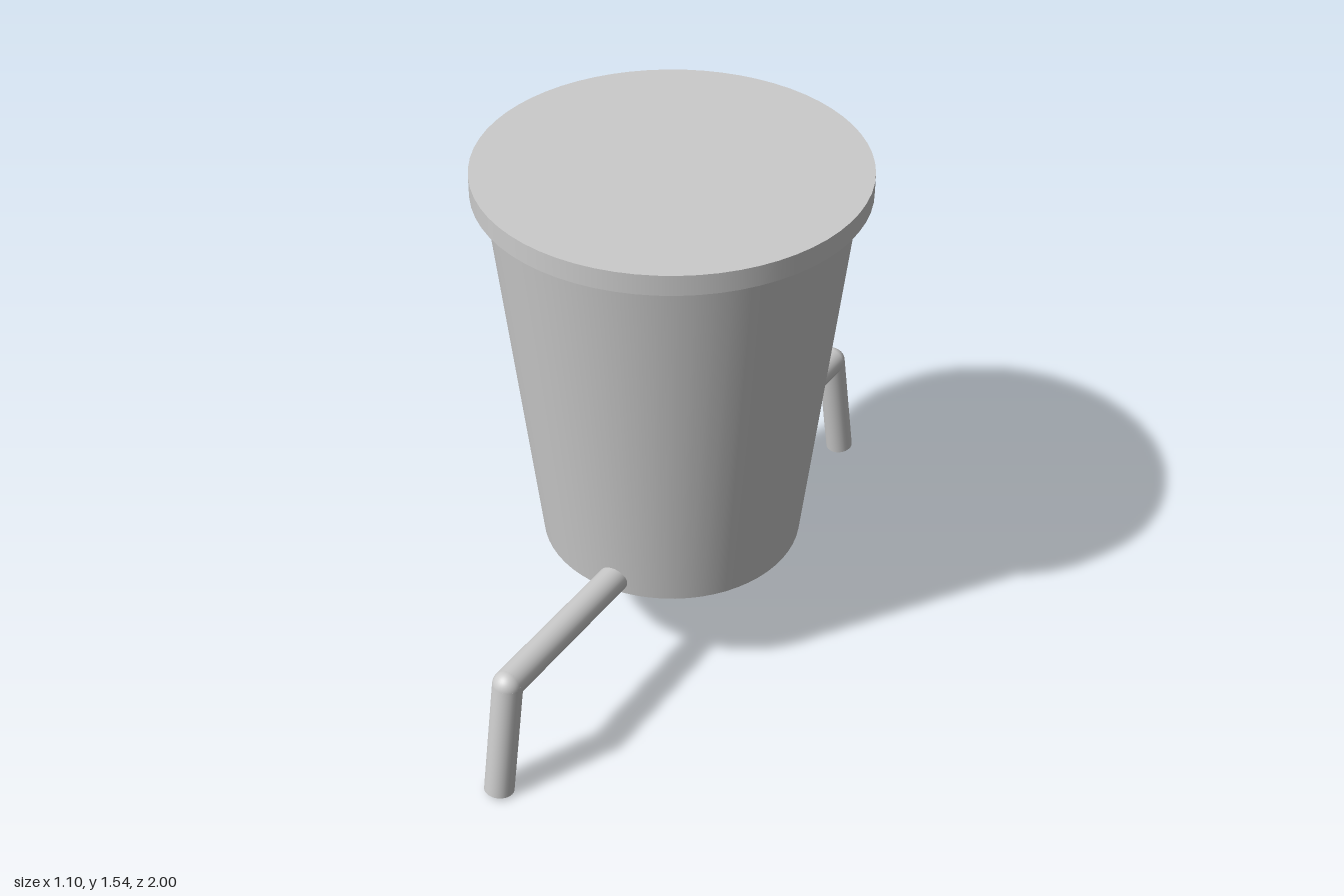
import * as THREE from 'three';

const material = new THREE.MeshStandardMaterial({ color: 0xcccccc });
const PIPE_RADIUS = 0.043;

function addMesh(parent, name, geometry, position) {
  const mesh = new THREE.Mesh(geometry, material);
  mesh.name = name;
  mesh.position.copy(position);
  parent.add(mesh);
  return mesh;
}

// Straight round bar between two points
function addPipe(parent, name, from, to) {
  const dir = to.clone().sub(from);
  const geometry = new THREE.CylinderGeometry(PIPE_RADIUS, PIPE_RADIUS, dir.length(), 32);
  const mesh = addMesh(parent, name, geometry, from.clone().add(to).multiplyScalar(0.5));
  mesh.quaternion.setFromUnitVectors(new THREE.Vector3(0, 1, 0), dir.normalize());
}

// Horizontal arm, rounded elbow and splayed lower leg
function createLeg(name, side, footX) {
  const leg = new THREE.Group();
  leg.name = name;
  const root = new THREE.Vector3(0.045, 0.372, side * 0.365);
  const elbow = new THREE.Vector3(0.045, 0.372, side * 0.908);
  const foot = new THREE.Vector3(footX, 0.006, side * 0.957);
  addPipe(leg, 'arm', root, elbow);
  addMesh(leg, 'elbow', new THREE.SphereGeometry(PIPE_RADIUS, 32, 20), elbow);
  addPipe(leg, 'lowerLeg', elbow, foot);
  return leg;
}

export function createModel() {
  const model = new THREE.Group();
  model.name = 'bucketOnLegs';

  // Tapered bucket and its overhanging lid
  addMesh(model, 'bucket', new THREE.CylinderGeometry(0.513, 0.385, 1.155, 64),
    new THREE.Vector3(0, 0.9025, 0));
  addMesh(model, 'lid', new THREE.CylinderGeometry(0.551, 0.551, 0.06, 64),
    new THREE.Vector3(0, 1.51, 0));

  // Legs lean slightly to opposite sides
  model.add(createLeg('frontLeg', 1, 0.032), createLeg('backLeg', -1, 0.064));
  return model;
}
